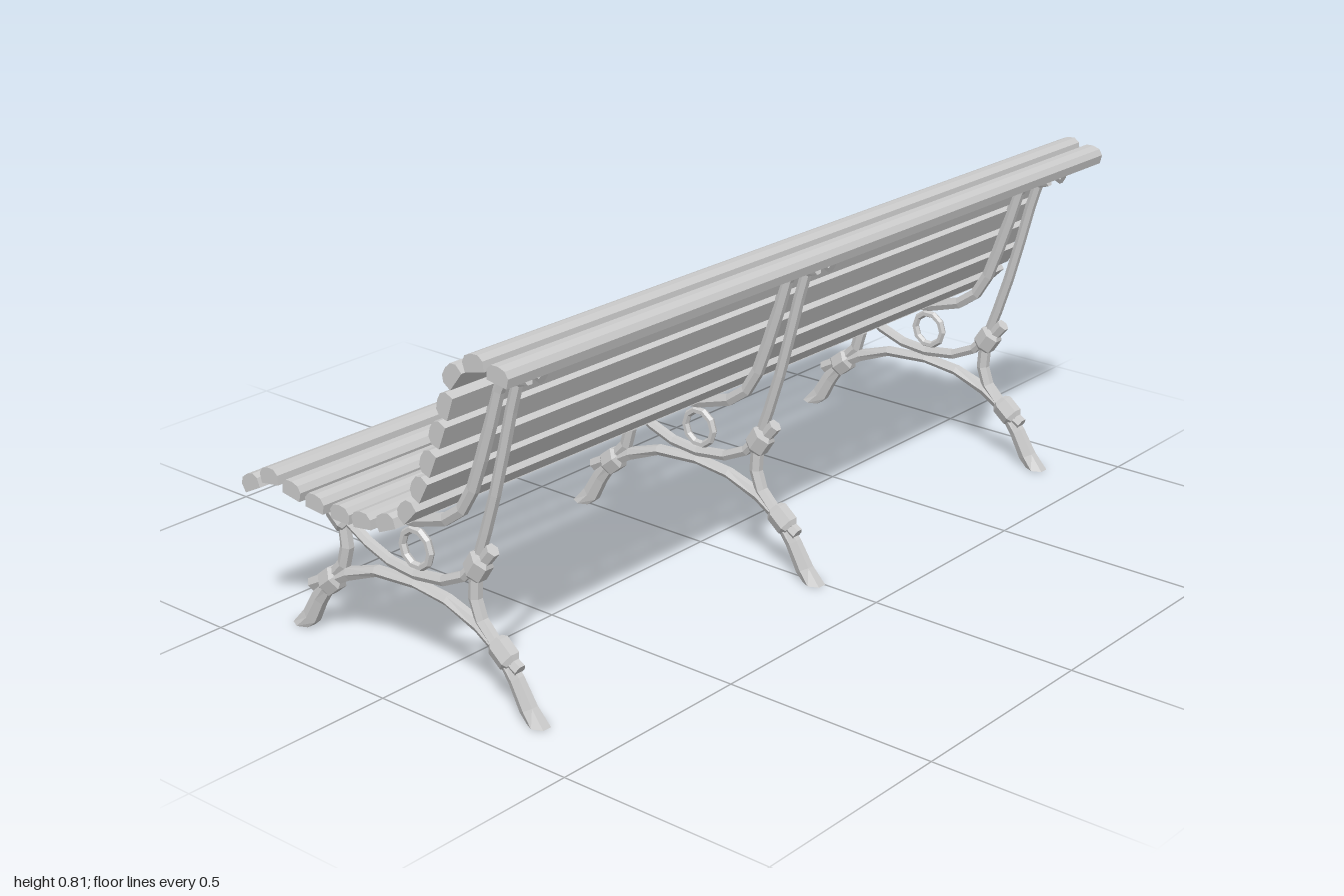
import * as THREE from 'three';

const material = new THREE.MeshStandardMaterial({ color: 0xcccccc, flatShading: true });
const SIDES = 6;

// Hexagonal bar along a [z, y] path; each point may add half height and half width.
// Anything below the ground is pressed flat on y = 0.
function bar(name, path, height, width) {
  const pos = [];
  const rings = path.map(([z, y, h = height, w = width], i) => {
    const a = path[Math.max(i - 1, 0)], b = path[Math.min(i + 1, path.length - 1)];
    const len = Math.hypot(b[0] - a[0], b[1] - a[1]);
    const nz = (b[1] - a[1]) / len, ny = -(b[0] - a[0]) / len;
    return Array.from({ length: SIDES }, (_, k) => {
      const t = (k / SIDES) * Math.PI * 2, s = (Math.sin(t) * h) / 0.866;
      return [Math.cos(t) * w, Math.max(y + ny * s, 0), z + nz * s];
    });
  });
  const tri = (...corners) => corners.forEach((c) => pos.push(...c));
  for (let i = 0; i < rings.length - 1; i++) {
    for (let k = 0; k < SIDES; k++) {
      const a = rings[i], b = rings[i + 1], n = (k + 1) % SIDES;
      tri(a[k], b[k], a[n]);
      tri(a[n], b[k], b[n]);
    }
  }
  const first = rings[0], last = rings[rings.length - 1];
  for (let k = 1; k < SIDES - 1; k++) {
    tri(first[0], first[k], first[k + 1]);
    tri(last[0], last[k + 1], last[k]);
  }
  const geometry = new THREE.BufferGeometry();
  geometry.setAttribute('position', new THREE.Float32BufferAttribute(pos, 3));
  geometry.computeVertexNormals();
  const mesh = new THREE.Mesh(geometry, material);
  mesh.name = name;
  return mesh;
}

// Short collar with bevelled ends, centred on [z, y] and running along [dz, dy]
function collar(name, z, y, dz, dy) {
  const len = Math.hypot(dz, dy);
  const steps = [[-0.03, 0.018, 0.016], [-0.02, 0.026, 0.023], [0.02, 0.026, 0.023], [0.03, 0.018, 0.016]];
  return bar(name, steps.map(([s, h, w]) => [z + (s * dz) / len, y + (s * dy) / len, h, w]));
}

function createFrame() {
  const frame = new THREE.Group();
  // Rail carrying the slats, from the top curl to the front lip
  frame.add(bar('slatRail', [
    [0.371, 0.746], [0.338, 0.759], [0.298, 0.754], [0.269, 0.732], [0.249, 0.69],
    [0.225, 0.613], [0.198, 0.535], [0.17, 0.462], [0.137, 0.409], [0.088, 0.374],
    [0, 0.347], [-0.078, 0.338], [-0.178, 0.343], [-0.244, 0.358], [-0.299, 0.374],
    [-0.337, 0.363], [-0.365, 0.321],
  ], 0.013, 0.012));
  // Back strut sweeping down and under the seat
  frame.add(bar('backStrut', [
    [0.331, 0.732], [0.302, 0.719], [0.283, 0.657], [0.26, 0.569], [0.232, 0.469],
    [0.203, 0.381], [0.176, 0.308], [0.137, 0.265], [0.077, 0.237], [-0.005, 0.226],
    [-0.078, 0.232], [-0.144, 0.254], [-0.195, 0.281], [-0.237, 0.308], [-0.29, 0.323],
  ], 0.011, 0.012));
  // C-shaped braces between seat and legs
  frame.add(bar('rearBrace', [
    [0.221, 0.347], [0.194, 0.314], [0.17, 0.27], [0.167, 0.226],
    [0.183, 0.181], [0.225, 0.139], [0.287, 0.104],
  ], 0.014, 0.014));
  frame.add(bar('frontBrace', [
    [-0.29, 0.312], [-0.25, 0.302], [-0.218, 0.268], [-0.213, 0.226],
    [-0.226, 0.181], [-0.266, 0.139], [-0.33, 0.104],
  ], 0.014, 0.014));
  // Arched legs, widening to the feet
  frame.add(bar('legArch', [
    [0.336, -0.025, 0.026, 0.022], [0.309, 0.027, 0.02, 0.017], [0.276, 0.082, 0.018], [0.236, 0.131],
    [0.176, 0.168], [0.088, 0.197, 0.011], [-0.005, 0.206, 0.01], [-0.122, 0.197, 0.011],
    [-0.211, 0.164], [-0.268, 0.131], [-0.31, 0.077, 0.018], [-0.339, 0.027, 0.02, 0.017],
    [-0.366, -0.025, 0.026, 0.022],
  ], 0.014, 0.015));
  frame.add(
    collar('rearUpperCollar', 0.178, 0.3, -0.55, -0.83),
    collar('frontUpperCollar', -0.23, 0.292, -0.7, 0.6),
    collar('rearLowerCollar', 0.243, 0.13, 0.75, -0.6),
    collar('frontLowerCollar', -0.268, 0.131, -0.75, -0.6),
  );
  // Ring between strut and rail
  const ring = new THREE.Mesh(new THREE.TorusGeometry(0.041, 0.009, 6, 10), material);
  ring.name = 'ring';
  ring.rotation.y = Math.PI / 2;
  ring.position.set(0, 0.285, 0);
  frame.add(ring);
  return frame;
}

// Slat centres [z, y], from the top of the back to the front of the seat
const slatCentres = [
  [0.368, 0.781], [0.304, 0.79], [0.244, 0.752], [0.222, 0.686], [0.198, 0.622],
  [0.169, 0.555], [0.14, 0.493], [0.102, 0.434], [0.04, 0.392], [-0.03, 0.376],
  [-0.094, 0.372], [-0.17, 0.374], [-0.24, 0.383], [-0.309, 0.394], [-0.371, 0.363],
];
// Slat section: along the curve, outwards
const slatSection = [
  [-0.026, -0.017], [0.026, -0.017], [0.028, 0.004], [0.018, 0.016], [0, 0.019], [-0.018, 0.016], [-0.028, 0.004],
];
const LENGTH = 1.985;

function createSlat(i) {
  const [z, y] = slatCentres[i];
  const a = slatCentres[Math.max(i - 1, 0)], b = slatCentres[Math.min(i + 1, slatCentres.length - 1)];
  const len = Math.hypot(b[0] - a[0], b[1] - a[1]);
  const tz = (b[0] - a[0]) / len, ty = (b[1] - a[1]) / len;
  const shape = new THREE.Shape(slatSection.map(([u, v]) =>
    new THREE.Vector2(z + tz * u + ty * v, y + ty * u - tz * v)));
  const geometry = new THREE.ExtrudeGeometry(shape, { depth: LENGTH, bevelEnabled: false });
  geometry.translate(0, 0, -LENGTH / 2).rotateY(-Math.PI / 2);
  const mesh = new THREE.Mesh(geometry, material);
  mesh.name = i < 8 ? `backSlat${i + 1}` : `seatSlat${i - 7}`;
  return mesh;
}

export function createModel() {
  const model = new THREE.Group();
  model.name = 'bench';
  const body = new THREE.Group();
  body.name = 'benchBody';
  // The bench stands turned very slightly about the vertical
  body.rotation.y = -0.0175;
  model.add(body);

  slatCentres.forEach((_, i) => body.add(createSlat(i)));
  [['rightFrame', -0.875], ['middleFrame', -0.004], ['leftFrame', 0.868]].forEach(([name, x]) => {
    const frame = createFrame();
    frame.name = name;
    frame.position.x = x;
    body.add(frame);
  });
  return model;
}
